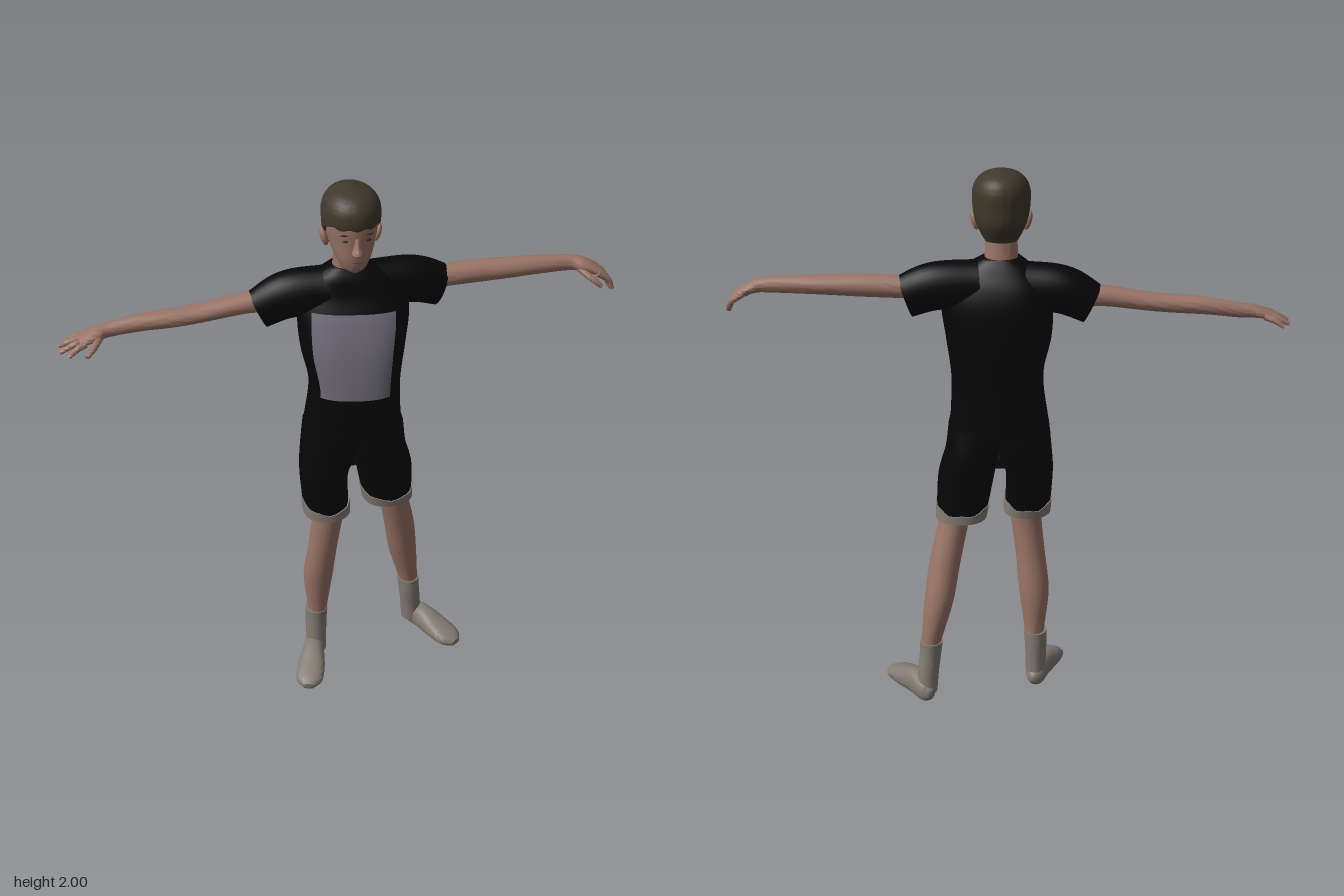
import * as THREE from 'three';
import { toCreasedNormals } from 'three/addons/utils/BufferGeometryUtils.js';

const mat = (name, color, side = THREE.FrontSide) => {
  const m = new THREE.MeshStandardMaterial({ color, side });
  m.name = name;
  return m;
};
const skin = mat('skin', 0x9a7466);
const hair = mat('hair brown', 0x3f382b, THREE.DoubleSide);
const black = mat('black cloth', 0x060606);
const print = mat('print grey', 0x716d7a, THREE.DoubleSide);
const trim = mat('trim grey', 0x857c73);
const sock = mat('sock grey', 0x837c73);
const lip = mat('lip', 0x744f48);
const dark = mat('eye dark', 0x3a2d28);

const UP = new THREE.Vector3(0, 1, 0), FRONT = new THREE.Vector3(0, 0, 1);

// Smooth skin over rows of [x, y, z, sideRadius, upRadius]; a part of it can be cut out by from/to/a0/a1.
function loft(name, material, rows, o = {}) {
  const { axis, ref = UP, n = 28, m = rows.length * 5, p = 2, grow = 0, cap = true,
    from = 0, to = 1, a0 = 0, a1 = Math.PI * 2 } = o;
  const spine = new THREE.CatmullRomCurve3(rows.map(r => new THREE.Vector3(r[0], r[1], r[2])), false, 'catmullrom');
  const radii = new THREE.CatmullRomCurve3(rows.map(r => new THREE.Vector3(r[3], r[4], 0)), false, 'catmullrom');
  const value = (v, a) => (typeof v === 'function' ? v(a) : v);
  const power = v => Math.sign(v) * Math.abs(v) ** (2 / p);
  const closed = a1 - a0 > 6.28, cols = closed ? n : n + 1;
  const pos = [], idx = [];
  for (let i = 0; i <= m; i++) {
    for (let j = 0; j < cols; j++) {
      const a = a0 + (a1 - a0) * j / n;
      const t = THREE.MathUtils.lerp(value(from, a), value(to, a), i / m);
      const c = spine.getPoint(t), r = radii.getPoint(t);
      const T = axis || spine.getTangent(t);
      const side = ref.clone().cross(T).normalize();
      const up = T.clone().cross(side).normalize();
      c.addScaledVector(side, (r.x + grow) * power(Math.cos(a)));
      c.addScaledVector(up, (r.y + grow) * power(Math.sin(a)));
      pos.push(c.x, c.y, c.z);
    }
  }
  for (let i = 0; i < m; i++) for (let j = 0; j < n; j++) {
    const a = i * cols + j, b = i * cols + (j + 1) % cols;
    idx.push(a, b, b + cols, a, b + cols, a + cols);
  }
  if (cap && closed) for (const i of [0, m]) {
    const centre = [0, 0, 0], k = pos.length / 3;
    for (let j = 0; j < n; j++) for (let d = 0; d < 3; d++) centre[d] += pos[(i * n + j) * 3 + d] / n;
    pos.push(...centre);
    for (let j = 0; j < n; j++) {
      const a = i * n + j, b = i * n + (j + 1) % n;
      idx.push(...(i ? [a, b, k] : [b, a, k]));
    }
  }
  const g = new THREE.BufferGeometry();
  g.setAttribute('position', new THREE.Float32BufferAttribute(pos, 3));
  g.setIndex(idx);
  const mesh = new THREE.Mesh(toCreasedNormals(g, 1.0), material);
  mesh.name = name;
  return mesh;
}

function blob(name, material, at, size, tilt = 0) {
  const mesh = new THREE.Mesh(new THREE.SphereGeometry(1, 16, 12), material);
  mesh.position.set(...at);
  mesh.scale.set(...size);
  mesh.rotation.z = tilt;
  mesh.name = name;
  return mesh;
}

const finger = (name, a, b, c) => loft(name, skin,
  [[...a, .013, .012], [...b, .012, .011], [...c, .008, .007]], { n: 10 });

// Foot from heel to toe, both given as [x, z]
function foot(name, heel, toe) {
  const rows = [[0, .045, .014, .018], [.1, .046, .034, .04], [.35, .055, .041, .05],
    [.65, .042, .052, .037], [.88, .03, .049, .025], [1, .024, .022, .014]];
  return loft(name, sock, rows.map(([t, y, ra, rb]) => [
    heel[0] + (toe[0] - heel[0]) * t, y, heel[1] + (toe[1] - heel[1]) * t, ra, rb]), { p: 2.3 });
}

export function createModel() {
  const model = new THREE.Group();
  model.name = 'standingBoy';
  const upright = { axis: UP, ref: FRONT };

  // Shirt, turned slightly to one side, with the chest print lying on it
  const body = { axis: UP, ref: new THREE.Vector3(-.15, 0, 1).normalize(), p: 2.5, n: 40 };
  const torso = [[.027, 1.06, 0, .178, .135], [.035, 1.25, 0, .162, .138], [.03, 1.4, -.01, .185, .135],
    [.035, 1.52, -.024, .195, .12], [.035, 1.6, -.032, .18, .095], [.028, 1.66, -.024, .125, .075],
    [.02, 1.7, -.022, .066, .055]];
  model.add(loft('shirtBody', black, torso, body));
  model.add(loft('chestPrint', print, torso,
    { ...body, n: 20, from: .158, to: .56, a0: .82, a1: 2.28, grow: .006 }));
  model.add(loft('rightSleeve', black, [[-.05, 1.6, -.035, .08, .085], [-.19, 1.587, -.045, .075, .085],
    [-.295, 1.538, -.05, .056, .073]]));
  model.add(loft('leftSleeve', black, [[.1, 1.605, -.035, .08, .085], [.25, 1.6, -.05, .072, .085],
    [.353, 1.565, -.055, .056, .077]]));

  // Shorts with a pale wavy hem
  model.add(loft('shortsSeat', black, [[.03, 1.1, 0, .175, .13], [.03, 1, -.006, .182, .13],
    [.035, .93, -.01, .11, .085]], { ...upright, p: 2.4 }));
  const shorts = {
    right: [[-.073, .72, .02, .083, .092], [-.08, .88, .008, .086, .115], [-.06, .98, 0, .1, .13], [-.05, 1.08, 0, .1, .13]],
    left: [[.168, .72, -.035, .09, .092], [.148, .88, -.018, .102, .112], [.125, .98, -.01, .098, .13], [.11, 1.08, 0, .1, .13]],
  };
  for (const [s, rows] of Object.entries(shorts)) {
    model.add(loft(s + 'ShortsLeg', black, rows, { ...upright, p: 2.3, from: .02 }));
    model.add(loft(s + 'ShortsHem', trim, rows,
      { ...upright, p: 2.3, m: 4, grow: .004, to: a => .085 + .025 * Math.cos(2 * a) + .008 * Math.sin(7 * a) }));
  }

  // Legs, socks and feet
  const legs = {
    right: [[-.103, .2, -.025, .037, .042], [-.102, .25, -.022, .038, .043], [-.1, .4, -.01, .055, .056],
      [-.085, .55, .012, .054, .055], [-.068, .7, .025, .057, .057], [-.065, .82, .02, .065, .07]],
    left: [[.283, .2, -.128, .036, .04], [.28, .25, -.128, .037, .042], [.252, .4, -.112, .053, .061],
      [.228, .55, -.078, .057, .062], [.195, .7, -.045, .056, .064], [.17, .82, -.03, .065, .07]],
  };
  for (const [s, rows] of Object.entries(legs)) model.add(loft(s + 'Leg', skin, rows, upright));
  model.add(loft('rightSock', sock, [[-.107, .04, -.02, .036, .044], [-.108, .12, -.022, .039, .045],
    [-.107, .19, -.025, .041, .046], [-.105, .235, -.024, .043, .047]], upright));
  model.add(loft('leftSock', sock, [[.3, .04, -.14, .038, .043], [.294, .12, -.134, .039, .043],
    [.286, .19, -.128, .04, .045], [.281, .245, -.128, .042, .047]], upright));
  model.add(foot('rightFoot', [-.098, -.07], [-.18, .195]));
  model.add(foot('leftFoot', [.284, -.185], [.437, .05]));

  // Arms, running into the palms
  model.add(loft('rightArm', skin, [[-.25, 1.565, -.05, .045, .045], [-.33, 1.568, -.05, .042, .037],
    [-.5, 1.545, -.048, .04, .032], [-.6, 1.537, -.047, .038, .032], [-.7, 1.53, -.05, .032, .03],
    [-.81, 1.515, -.05, .026, .026], [-.86, 1.508, -.038, .038, .022], [-.915, 1.494, -.03, .045, .014]]));
  model.add(loft('leftArm', skin, [[.3, 1.598, -.055, .045, .042], [.36, 1.6, -.055, .045, .04],
    [.5, 1.605, -.055, .043, .04], [.6, 1.606, -.053, .042, .036], [.7, 1.607, -.053, .036, .033],
    [.82, 1.605, -.05, .028, .028], [.87, 1.598, -.04, .038, .024], [.925, 1.575, -.036, .045, .016]]));

  // Fingers: one hand spread, the other drooping
  const spread = [[-.96, -.09], [-.982, -.055], [-.982, -.008], [-.955, .03]];
  for (let k = 0; k < 4; k++) {
    const z = -.066 + k * .024, [tx, tz] = spread[k];
    model.add(finger('rightFinger', [-.895, 1.496, z], [(-.895 + tx) / 2, 1.486, (z + tz) / 2], [tx, 1.466, tz]));
    model.add(finger('leftFinger', [.912, 1.578, z - .004], [.953, 1.55, z - .004],
      [.97, 1.503 + .008 * Math.abs(k - 1.5), z * .9]));
  }
  model.add(finger('rightThumb', [-.84, 1.505, -.025], [-.87, 1.49, .03], [-.895, 1.475, .06]));
  model.add(finger('leftThumb', [.85, 1.592, -.025], [.89, 1.565, .02], [.92, 1.54, .034]));

  // Neck and head
  model.add(loft('neck', skin, [[.02, 1.65, -.025, .066, .056], [.02, 1.7, -.022, .058, .052],
    [.02, 1.8, -.008, .055, .056]], upright));
  model.add(loft('head', skin, [[.02, 1.716, .065, .018, .026], [.02, 1.73, .055, .042, .047],
    [.02, 1.77, .038, .064, .074], [.02, 1.82, .012, .081, .103], [.02, 1.88, .01, .091, .109],
    [.02, 1.94, .008, .087, .104], [.02, 1.98, .005, .054, .068]], { ...upright, n: 36, p: 2.1 }));
  model.add(loft('nose', skin, [[.02, 1.784, .112, .012, .01], [.02, 1.798, .12, .02, .024],
    [.02, 1.822, .116, .012, .018], [.02, 1.852, .112, .009, .01]], { ...upright, n: 14 }));
  model.add(blob('mouth', lip, [.02, 1.762, .107], [.023, .005, .005]));
  for (const s of [-1, 1]) {
    const side = s > 0 ? 'left' : 'right';
    model.add(blob(side + 'Ear', skin, [.02 + s * .092, 1.82, .004], [.013, .034, .022], -s * .25));
    model.add(blob(side + 'Eye', dark, [.02 + s * .036, 1.843, .106], [.013, .005, .005]));
    model.add(blob(side + 'Brow', dark, [.02 + s * .037, 1.864, .107], [.02, .004, .005], s * .08));
  }

  // Short hair: high over the brow, low on the nape
  model.add(loft('hair', hair, [[.02, 1.76, -.022, .06, .052], [.02, 1.82, -.004, .089, .102],
    [.02, 1.88, .008, .1, .118], [.02, 1.94, .008, .097, .116], [.02, 1.98, .004, .068, .084],
    [.02, 2, 0, .014, .018]], { ...upright, n: 48,
    from: a => THREE.MathUtils.smoothstep(Math.sin(a), -.5, .45) * (.42 + .015 * Math.sin(11 * a)) }));
  return model;
}
